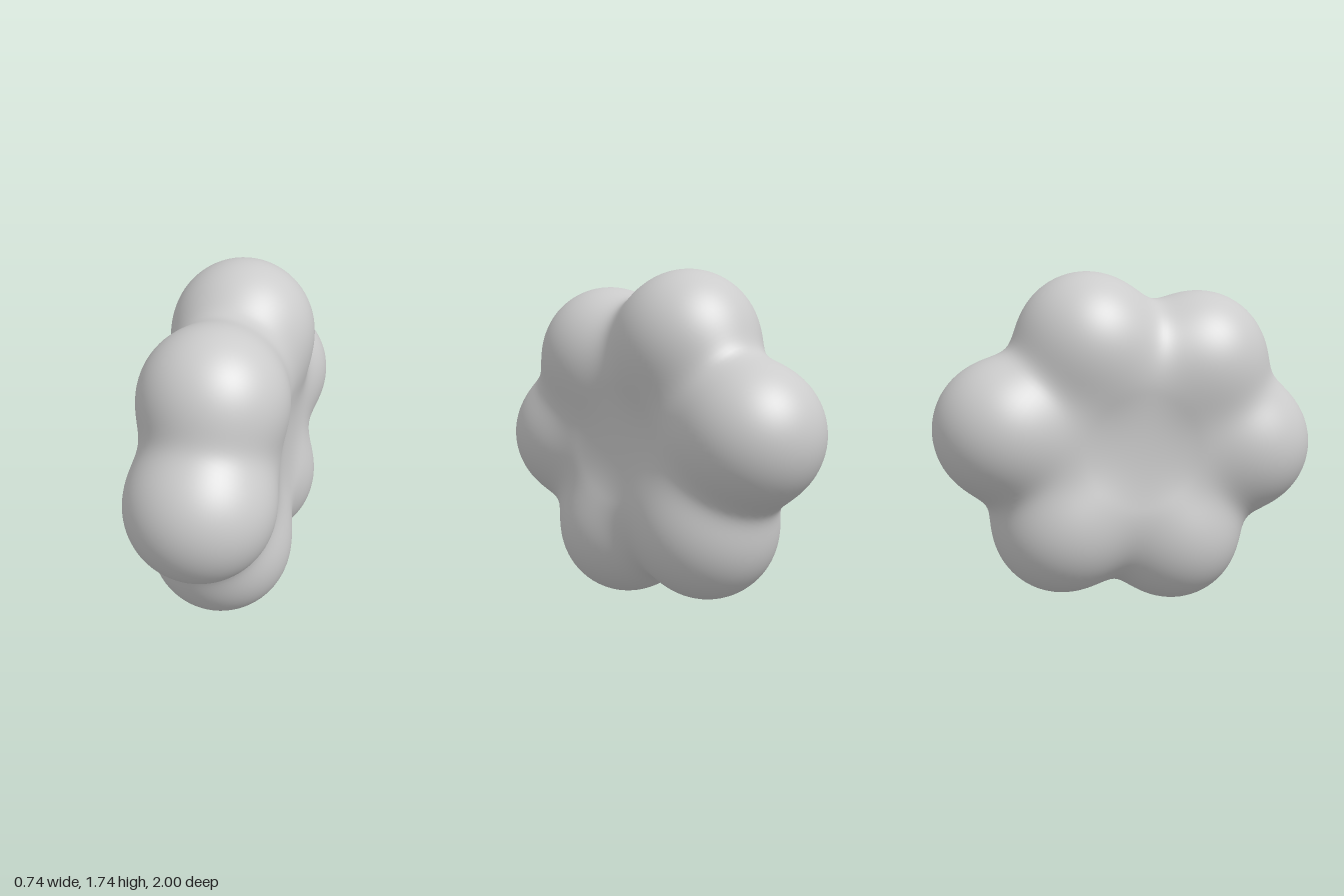
import * as THREE from 'three';
import { mergeVertices } from 'three/addons/utils/BufferGeometryUtils.js';

// Lobes around the ring: y, z, radius
const LOBES = [
  [1.27, 0.39, 0.36],
  [1.38, -0.21, 0.36],
  [0.96, -0.64, 0.36],
  [0.45, -0.35, 0.36],
  [0.36, 0.25, 0.36],
  [0.82, 0.635, 0.365],
];
const CENTRE = new THREE.Vector3(0, 0.87, 0);
const BLEND = 0.065;

// Signed distance to the lobes and a rounded core disc, softly blended
function field(p) {
  const rim = Math.max(Math.hypot(p.y - CENTRE.y, p.z) - 0.3, 0);
  let sum = Math.exp(-(Math.hypot(rim, p.x) - 0.29) / BLEND);
  for (const [y, z, r] of LOBES) {
    sum += Math.exp(-(Math.hypot(p.x, p.y - y, p.z - z) - r) / BLEND);
  }
  return -BLEND * Math.log(sum);
}

// Push a direction from the centre out to the blended surface
function project(dir) {
  let near = 0, far = 1.5;
  const p = new THREE.Vector3();
  for (let i = 0; i < 24; i++) {
    const mid = (near + far) / 2;
    p.copy(CENTRE).addScaledVector(dir, mid);
    if (field(p) < 0) near = mid;
    else far = mid;
  }
  return p;
}

export function createModel() {
  const group = new THREE.Group();
  group.name = 'lobedBlob';

  // Even ball whose shared vertices are moved onto the surface
  let geometry = new THREE.IcosahedronGeometry(1, 32);
  geometry.deleteAttribute('uv');
  geometry.deleteAttribute('normal');
  geometry = mergeVertices(geometry, 1e-4);
  const pos = geometry.attributes.position;
  const dir = new THREE.Vector3();
  for (let i = 0; i < pos.count; i++) {
    const p = project(dir.fromBufferAttribute(pos, i).normalize());
    pos.setXYZ(i, p.x, p.y, p.z);
  }
  geometry.computeVertexNormals();

  const body = new THREE.Mesh(geometry, new THREE.MeshStandardMaterial({ color: 0xcccccc }));
  body.name = 'sixLobedBody';
  group.add(body);
  return group;
}
